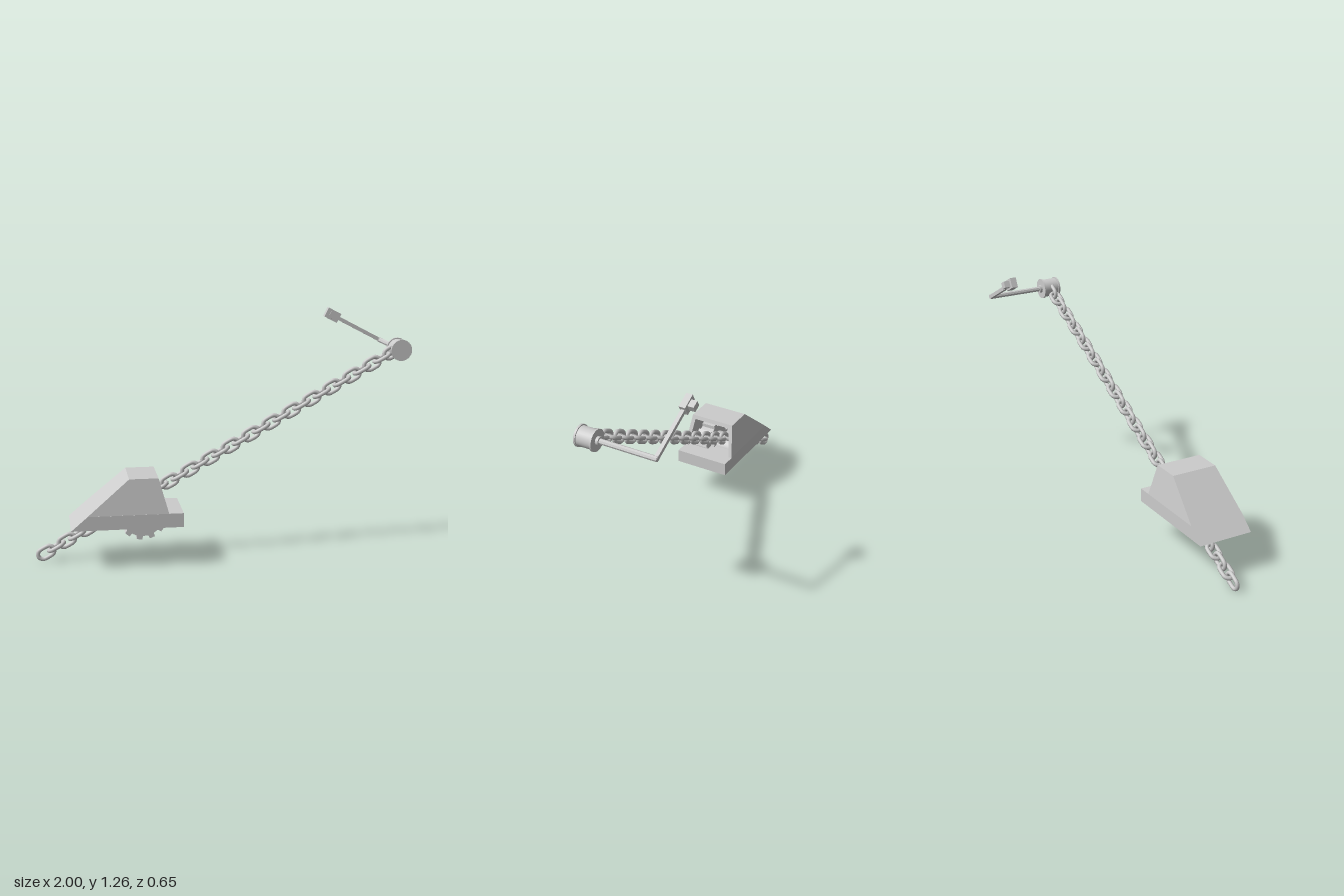
import * as THREE from 'three';

const flat = new THREE.MeshStandardMaterial({ color: 0xcccccc, flatShading: true, side: THREE.DoubleSide });
const smooth = new THREE.MeshStandardMaterial({ color: 0xcccccc });

function add(parent, name, geometry, material, x = 0, y = 0, z = 0) {
  const mesh = new THREE.Mesh(geometry, material);
  mesh.name = name;
  mesh.position.set(x, y, z);
  parent.add(mesh);
  return mesh;
}

// cylinder lying along z between two z values
function rod(parent, name, radius, x, y, z0, z1, sides = 32, material = smooth) {
  const g = new THREE.CylinderGeometry(radius, radius, Math.abs(z1 - z0), sides).rotateX(Math.PI / 2);
  return add(parent, name, g, material, x, y, (z0 + z1) / 2);
}

// extrude an x-y outline between two z values
function slab(points, z0, z1) {
  const shape = new THREE.Shape(points.map(([x, y]) => new THREE.Vector2(x, y)));
  return new THREE.ExtrudeGeometry(shape, { depth: z1 - z0, bevelEnabled: false }).translate(0, 0, z0);
}

// hollow tapered hood, open towards +x
function hoodGeometry() {
  const corners = (outline, lowZ, highZ) => outline.map(([x, y], i) => {
    const half = i < 2 ? lowZ : highZ;
    return [[x, y, 0.172 - half], [x, y, 0.172 + half]];
  });
  const outer = corners([[-0.735, 0.283], [-0.32, 0.283], [-0.37, 0.465], [-0.52, 0.465]], 0.152, 0.128);
  const inner = corners([[-0.695, 0.284], [-0.32, 0.284], [-0.364, 0.443], [-0.51, 0.443]], 0.132, 0.108);
  const pos = [];
  const quad = (a, b, c, d) => pos.push(...a, ...b, ...c, ...a, ...c, ...d);
  const walls = ([A, B, C, D], flip) => {
    const faces = [
      [A[1], B[1], C[1], D[1]],
      [B[0], A[0], D[0], C[0]],
      [D[1], C[1], C[0], D[0]],
      [A[0], A[1], D[1], D[0]],
    ];
    faces.forEach((f) => quad(...(flip ? f.reverse() : f)));
  };
  walls(outer, false);
  walls(inner, true);
  // rim around the opening
  const [, B, C] = outer;
  const [, b, c] = inner;
  quad(B[1], b[1], c[1], C[1]);
  quad(C[1], c[1], c[0], C[0]);
  quad(b[0], B[0], C[0], c[0]);
  const g = new THREE.BufferGeometry();
  g.setAttribute('position', new THREE.Float32BufferAttribute(pos, 3));
  g.computeVertexNormals();
  return g;
}

// one oval chain link, long axis along x, lying in the x-y plane
function linkGeometry(straight, bend, wire) {
  const path = new THREE.CurvePath();
  const points = [];
  for (let i = 0; i < 24; i++) {
    const a = ((i + 0.5) / 24) * Math.PI * 2;
    points.push(new THREE.Vector3(Math.cos(a) * bend + Math.sign(Math.cos(a)) * straight, Math.sin(a) * bend, 0));
  }
  points.forEach((p, i) => path.add(new THREE.LineCurve3(p, points[(i + 1) % 24])));
  return new THREE.TubeGeometry(new THREE.CatmullRomCurve3(points, true), 32, wire, 8, true);
}

// toothed wheel outline
function gearOutline(teeth, inner, outer) {
  const pts = [];
  for (let i = 0; i < teeth; i++) {
    [[0, inner], [0.45, inner], [0.52, outer], [0.93, outer]].forEach(([t, r]) => {
      const a = ((i + t) / teeth) * Math.PI * 2;
      pts.push([Math.cos(a) * r, Math.sin(a) * r]);
    });
  }
  return pts;
}

export function createModel() {
  const model = new THREE.Group();

  // housing: base block and open hood
  const housing = new THREE.Group();
  housing.name = 'housing';
  model.add(housing);
  add(housing, 'housingBase', slab([[-0.82, 0.21], [-0.245, 0.21], [-0.245, 0.283], [-0.735, 0.283]], 0.02, 0.325), flat);
  add(housing, 'housingHood', hoodGeometry(), flat);

  // drive wheel and guide pulley on a shared axle
  const drive = new THREE.Group();
  drive.name = 'driveWheel';
  model.add(drive);
  const wx = -0.45, wy = 0.265;
  add(drive, 'toothedWheel', slab(gearOutline(12, 0.112, 0.131), 0.187, 0.265), flat, wx, wy);
  rod(drive, 'wheelFlange', 0.075, wx, wy, 0.165, 0.285);
  rod(drive, 'guidePulley', 0.06, wx, wy, 0.08, 0.16);
  rod(drive, 'wheelAxle', 0.025, wx, wy, 0.04, 0.305);

  // chain: links alternate by a quarter turn
  const chain = new THREE.Group();
  chain.name = 'chain';
  const start = new THREE.Vector3(-0.946, 0.047, 0.131);
  const end = new THREE.Vector3(0.9, 1.055, 0.092);
  const dir = end.clone().sub(start);
  const count = Math.round(dir.length() / 0.062);
  chain.position.copy(start);
  chain.quaternion.setFromUnitVectors(new THREE.Vector3(1, 0, 0), dir.clone().normalize());
  model.add(chain);
  const link = linkGeometry(0.018, 0.027, 0.011);
  for (let i = 0; i <= count; i++) {
    const mesh = add(chain, 'chainLink', link, smooth, (i / count) * dir.length());
    mesh.rotation.x = (i % 2) * Math.PI / 2;
  }

  // winding drum with lipped ends
  const crank = new THREE.Group();
  crank.name = 'crank';
  model.add(crank);
  const dx = 0.94, dy = 1.068;
  rod(crank, 'drum', 0.05, dx, dy, 0.04, 0.138);
  rod(crank, 'drumLip', 0.056, dx, dy, 0.04, 0.05);
  rod(crank, 'drumLip', 0.056, dx, dy, 0.128, 0.138);
  rod(crank, 'shaftCollar', 0.022, dx, dy, 0.025, 0.04, 16);
  rod(crank, 'crankShaft', 0.014, dx, dy, 0.03, -0.285, 8, flat);

  // crank arm with its grip, tilted up towards -x
  const arm = new THREE.Group();
  arm.name = 'crankArm';
  arm.position.set(dx, dy, -0.276);
  arm.rotation.z = Math.PI - 0.483;
  crank.add(arm);
  add(arm, 'armBar', new THREE.BoxGeometry(0.3, 0.02, 0.02), flat, 0.145);
  add(arm, 'gripBlock', new THREE.BoxGeometry(0.08, 0.055, 0.034), flat, 0.313);
  add(arm, 'gripKnob', new THREE.BoxGeometry(0.04, 0.035, 0.07), flat, 0.313, 0, -0.014);

  return model;
}
